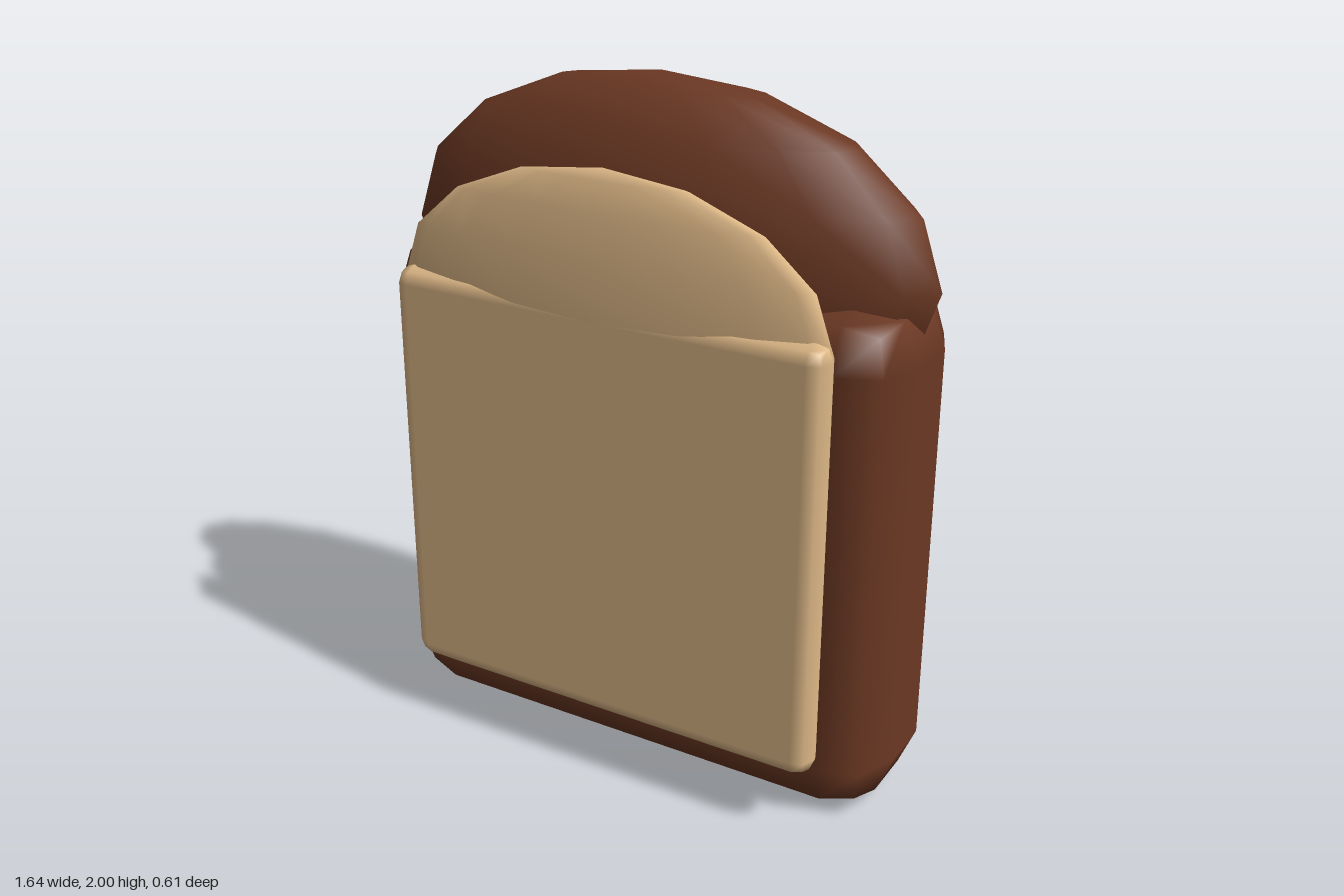
import * as THREE from 'three';

const crustMat = new THREE.MeshStandardMaterial({ color: 0x6b3823 });
crustMat.name = 'brown crust';
const crumbMat = new THREE.MeshStandardMaterial({ color: 0xdeb887 });
crumbMat.name = 'cream crumb';

// Box with two-step bevelled edges and smooth normals
function bevelBox(w, h, d, r) {
  const geo = new THREE.BoxGeometry(1, 1, 1, 3, 3, 3);
  const pos = geo.attributes.position;
  const inner = new THREE.Vector3(w / 2 - r, h / 2 - r, d / 2 - r);
  const step = (c) => (Math.abs(c) > 0.4 ? Math.sign(c) : 0);
  for (let i = 0; i < pos.count; i++) {
    const p = new THREE.Vector3().fromBufferAttribute(pos, i);
    const n = new THREE.Vector3(step(p.x), step(p.y), step(p.z)).normalize();
    pos.setXYZ(i,
      Math.sign(p.x) * inner.x + n.x * r,
      Math.sign(p.y) * inner.y + n.y * r,
      Math.sign(p.z) * inner.z + n.z * r);
    geo.attributes.normal.setXYZ(i, n.x, n.y, n.z);
  }
  return geo;
}

// Low-poly smooth ellipsoid
function dome(rx, ry, rz) {
  return new THREE.SphereGeometry(1, 16, 8).scale(rx, ry, rz);
}

export function createModel() {
  const group = new THREE.Group();
  group.name = 'breadSlice';

  const add = (name, geo, mat, y, z) => {
    const mesh = new THREE.Mesh(geo, mat);
    mesh.name = name;
    mesh.position.set(0, y, z);
    group.add(mesh);
  };

  // Crust: thick loaf body with a domed top
  add('crustBody', bevelBox(1.615, 1.51, 0.505, 0.17), crustMat, 0.755, -0.0525);
  add('crustTop', dome(0.82, 0.48, 0.243), crustMat, 1.52, -0.052);

  // Crumb: thin pale face on the front with its own domed top
  add('crumbFace', bevelBox(1.33, 1.25, 0.108, 0.05), crumbMat, 0.825, 0.25);
  add('crumbTop', dome(0.66, 0.38, 0.0642), crumbMat, 1.42, 0.2405);

  return group;
}
